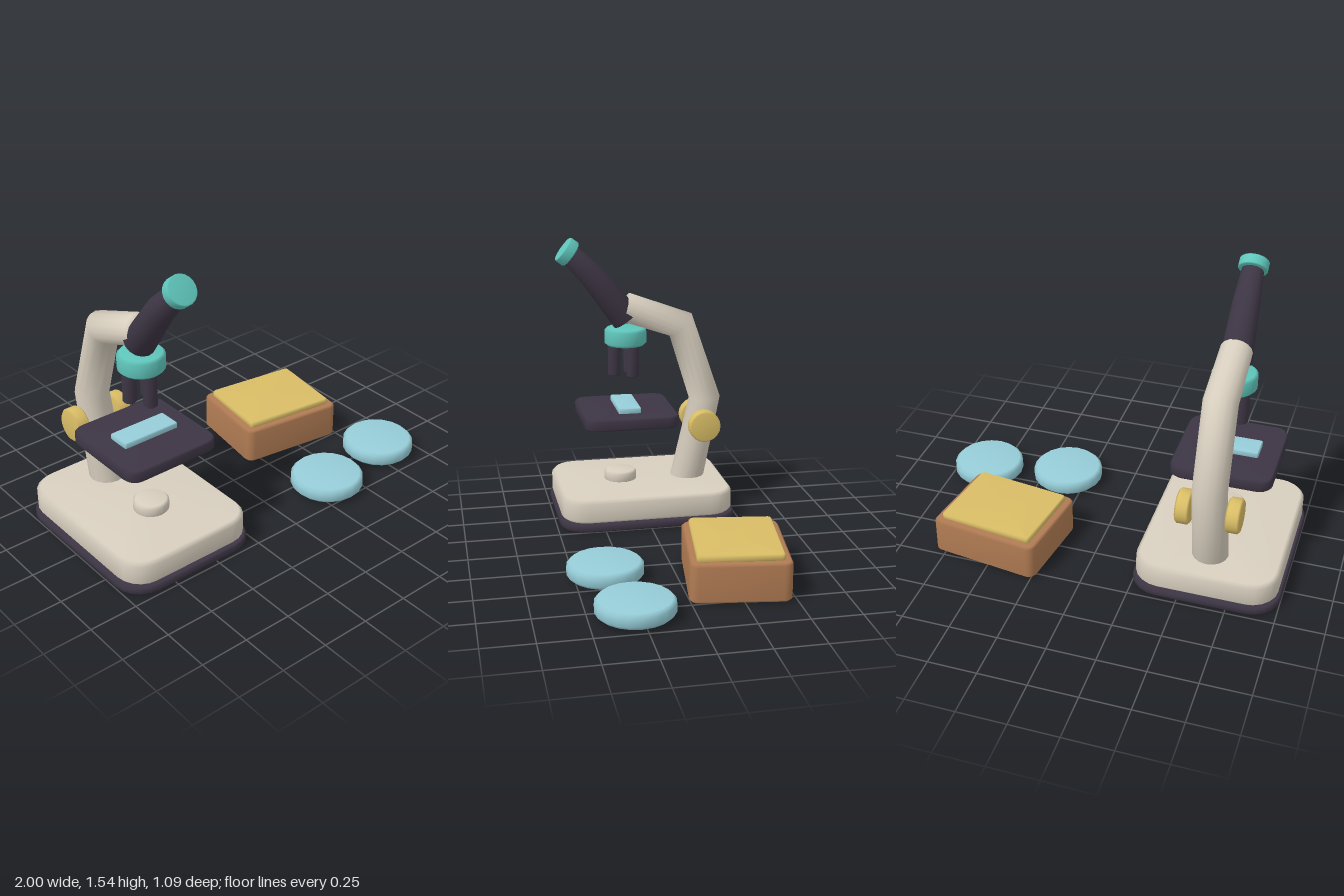
import * as THREE from 'three';

const mat = (name, color) => Object.assign(new THREE.MeshStandardMaterial({ color }), { name });

// Skins a stack of equal-length point loops and closes both ends with a fan.
function loft(rings) {
  const n = rings[0].length, pos = [], index = [];
  rings.forEach((ring) => ring.forEach((p) => pos.push(p.x, p.y, p.z)));
  const centre = (ring) => {
    const c = ring.reduce((s, p) => s.add(p), new THREE.Vector3()).divideScalar(n);
    pos.push(c.x, c.y, c.z);
    return pos.length / 3 - 1;
  };
  const low = centre(rings[0]), high = centre(rings[rings.length - 1]);
  const last = (rings.length - 1) * n;
  for (let j = 0; j < n; j++) {
    const k = (j + 1) % n;
    for (let r = 0; r < last; r += n) {
      index.push(r + j, r + k, r + n + k, r + j, r + n + k, r + n + j);
    }
    index.push(low, k, j, high, last + j, last + k);
  }
  const geo = new THREE.BufferGeometry();
  geo.setAttribute('position', new THREE.Float32BufferAttribute(pos, 3));
  geo.setIndex(index);
  geo.computeVertexNormals();
  return geo;
}

// Rounded rectangle loop at height y.
function rectLoop(w, d, r, y, steps = 5) {
  const pts = [];
  const signs = [[1, -1], [-1, -1], [-1, 1], [1, 1]];
  signs.forEach(([sx, sz], q) => {
    for (let i = 0; i <= steps; i++) {
      const a = (q + i / steps) * Math.PI / 2;
      pts.push(new THREE.Vector3(
        sx * (w / 2 - r) + r * Math.cos(a), y, sz * (d / 2 - r) - r * Math.sin(a)));
    }
  });
  return pts;
}

// Rounded slab standing on y = 0 with softened top and bottom edges.
function slab(w, d, h, r, b) {
  const loop = (inset, y) => rectLoop(w - 2 * inset, d - 2 * inset, r - inset, y);
  return loft([loop(b, 0), loop(0, b), loop(0, h - b), loop(b, h)]);
}

// Disc standing on y = 0 with softened edges.
function disc(r, h, b, sides = 20) {
  const loop = (rad, y) => Array.from({ length: sides }, (_, i) => {
    const a = i / sides * Math.PI * 2;
    return new THREE.Vector3(rad * Math.cos(a), y, -rad * Math.sin(a));
  });
  return loft([loop(r - b, 0), loop(r, b), loop(r, h - b), loop(r - b, h)]);
}

// Tapered bent tube in the yz plane; each station is [z, y, radius].
function bentTube(stations, sides = 16) {
  const p = stations.map(([z, y]) => new THREE.Vector3(0, y, z));
  const u = new THREE.Vector3(1, 0, 0);
  return loft(stations.map(([, , r], i) => {
    const t = new THREE.Vector3();
    if (i > 0) t.add(p[i].clone().sub(p[i - 1]).normalize());
    if (i < p.length - 1) t.add(p[i + 1].clone().sub(p[i]).normalize());
    const w = t.normalize().clone().cross(u);
    return Array.from({ length: sides }, (_, j) => {
      const a = j / sides * Math.PI * 2;
      return p[i].clone().addScaledVector(u, r * Math.cos(a)).addScaledVector(w, r * Math.sin(a));
    });
  }));
}

export function createModel() {
  const cream = mat('cream enamel', 0xd8cfbf);
  const dark = mat('dark plum', 0x3d3544);
  const teal = mat('teal', 0x5fc6bb);
  const glass = mat('pale blue glass', 0x96cdd8);
  const wood = mat('brown wood', 0xb07b53);
  const gold = mat('gold', 0xd9bd66);

  const model = new THREE.Group();
  model.name = 'microscopeSet';
  const add = (parent, name, geo, material, x = 0, y = 0, z = 0) => {
    const mesh = new THREE.Mesh(geo, material);
    mesh.name = name;
    mesh.position.set(x, y, z);
    parent.add(mesh);
    return mesh;
  };

  const scope = new THREE.Group();
  scope.name = 'microscope';
  scope.position.x = -0.62;
  model.add(scope);

  // Base and light port
  add(scope, 'footPlate', slab(0.76, 0.97, 0.045, 0.15, 0.01), dark);
  add(scope, 'base', slab(0.73, 0.945, 0.135, 0.14, 0.02), cream, 0, 0.04, 0);
  add(scope, 'lightPort', disc(0.09, 0.065, 0.012), cream, 0, 0.165, 0.11);

  // Bent arm
  add(scope, 'arm', bentTube([
    [-0.27, 0.15, 0.093], [-0.3725, 0.625, 0.088], [-0.235, 1.043, 0.087], [0.075, 1.153, 0.081],
  ]), cream);

  // Eyepiece tube with its cap
  add(scope, 'eyepieceTube', bentTube([
    [0.07, 1.09, 0.082], [0.248, 1.325, 0.069], [0.375, 1.453, 0.055],
  ]), dark);
  const cap = add(scope, 'eyepieceCap', disc(0.075, 0.056, 0.006), teal, 0, 1.447, 0.365);
  cap.rotation.x = 0.927;

  // Nosepiece with three objectives
  add(scope, 'nosepiece', disc(0.116, 0.095, 0.014), teal, 0, 0.945, 0.075);
  for (let i = 0; i < 3; i++) {
    const a = i * Math.PI * 2 / 3;
    add(scope, 'objective', disc(0.035, 0.17, 0.005, 14), dark,
      0.06 * Math.sin(a), 0.775, 0.075 + 0.063 * Math.cos(a));
  }

  // Stage and specimen slide
  add(scope, 'stage', slab(0.52, 0.52, 0.065, 0.07, 0.01), dark, 0, 0.525, 0.075);
  add(scope, 'slide', slab(0.31, 0.125, 0.032, 0.01, 0.005), glass, 0, 0.588, 0.077);

  // Focus knobs on both sides
  for (const side of [-1, 1]) {
    const knob = add(scope, 'focusKnob', disc(0.088, 0.07, 0.01), gold, side * 0.09, 0.49, -0.345);
    knob.rotation.z = -side * Math.PI / 2;
  }

  // Dishes
  for (const [x, z] of [[0.355, 0.348], [0.808, 0.278]]) {
    add(model, 'dish', disc(0.192, 0.08, 0.018), glass, x, 0.012, z);
  }

  // Storage box with lid panel
  const box = new THREE.Group();
  box.name = 'storageBox';
  box.position.set(0.49, 0, -0.273);
  box.rotation.y = -0.14;
  model.add(box);
  add(box, 'boxBody', slab(0.585, 0.49, 0.195, 0.045, 0.012), wood);
  add(box, 'boxLid', slab(0.51, 0.42, 0.036, 0.02, 0.008), gold, 0, 0.191, 0);

  return model;
}
